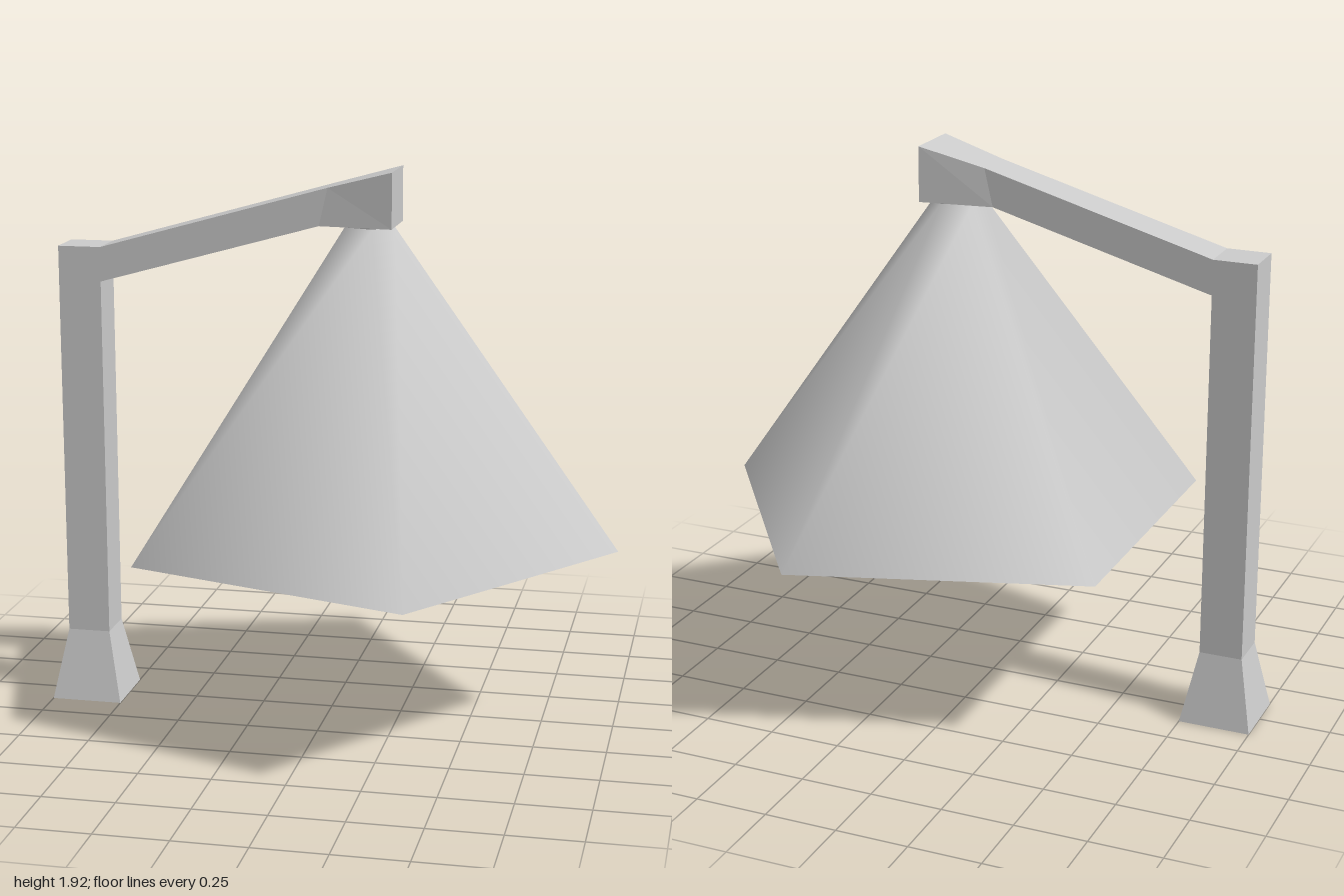
import * as THREE from 'three';

const material = new THREE.MeshStandardMaterial({ color: 0xcccccc, flatShading: true });
const shadeMaterial = new THREE.MeshStandardMaterial({ color: 0xcccccc, side: THREE.DoubleSide });

// Square beam skinned through stations [outerX, outerY, innerX, innerY, halfWidth]
function beam(name, stations, capStart, capEnd) {
  const rings = stations.map(([ox, oy, ix, iy, w]) => [
    [ox, oy, w], [ix, iy, w], [ix, iy, -w], [ox, oy, -w],
  ]);
  const positions = [];
  const quad = (a, b, c, d) => positions.push(...a, ...b, ...c, ...a, ...c, ...d);
  for (let s = 0; s < rings.length - 1; s++) {
    for (let i = 0; i < 4; i++) {
      const j = (i + 1) % 4;
      quad(rings[s][i], rings[s][j], rings[s + 1][j], rings[s + 1][i]);
    }
  }
  if (capStart) quad(...[...rings[0]].reverse());
  if (capEnd) quad(...rings[rings.length - 1]);
  const geometry = new THREE.BufferGeometry();
  geometry.setAttribute('position', new THREE.Float32BufferAttribute(positions, 3));
  geometry.computeVertexNormals();
  const mesh = new THREE.Mesh(geometry, material);
  mesh.name = name;
  return mesh;
}

export function createModel() {
  const group = new THREE.Group();
  group.name = 'lamp';

  // Flared foot
  group.add(beam('foot', [
    [-1, 0, -0.75, 0, 0.125],
    [-0.95, 0.25, -0.8, 0.25, 0.075],
  ], true, false));

  // Upright post
  group.add(beam('post', [
    [-0.95, 0.25, -0.8, 0.25, 0.075],
    [-0.95, 1.64, -0.8, 1.64, 0.075],
  ], false, true));

  // Sloping arm widening into the lamp head
  group.add(beam('arm', [
    [-0.8, 1.64, -0.8, 1.52, 0.075],
    [0, 1.865, -0.03, 1.735, 0.075],
    [0.225, 1.925, 0.225, 1.735, 0.108],
  ], false, true));

  // Open five-sided shade with smooth normals, one corner pointing along +x
  const bottom = 0.635, top = 1.73;
  const shade = new THREE.Mesh(
    new THREE.CylinderGeometry(0.09, 0.873, top - bottom, 5, 1, true, Math.PI / 2),
    shadeMaterial,
  );
  shade.name = 'shade';
  shade.position.set(0.127, (top + bottom) / 2, 0);
  group.add(shade);

  return group;
}
